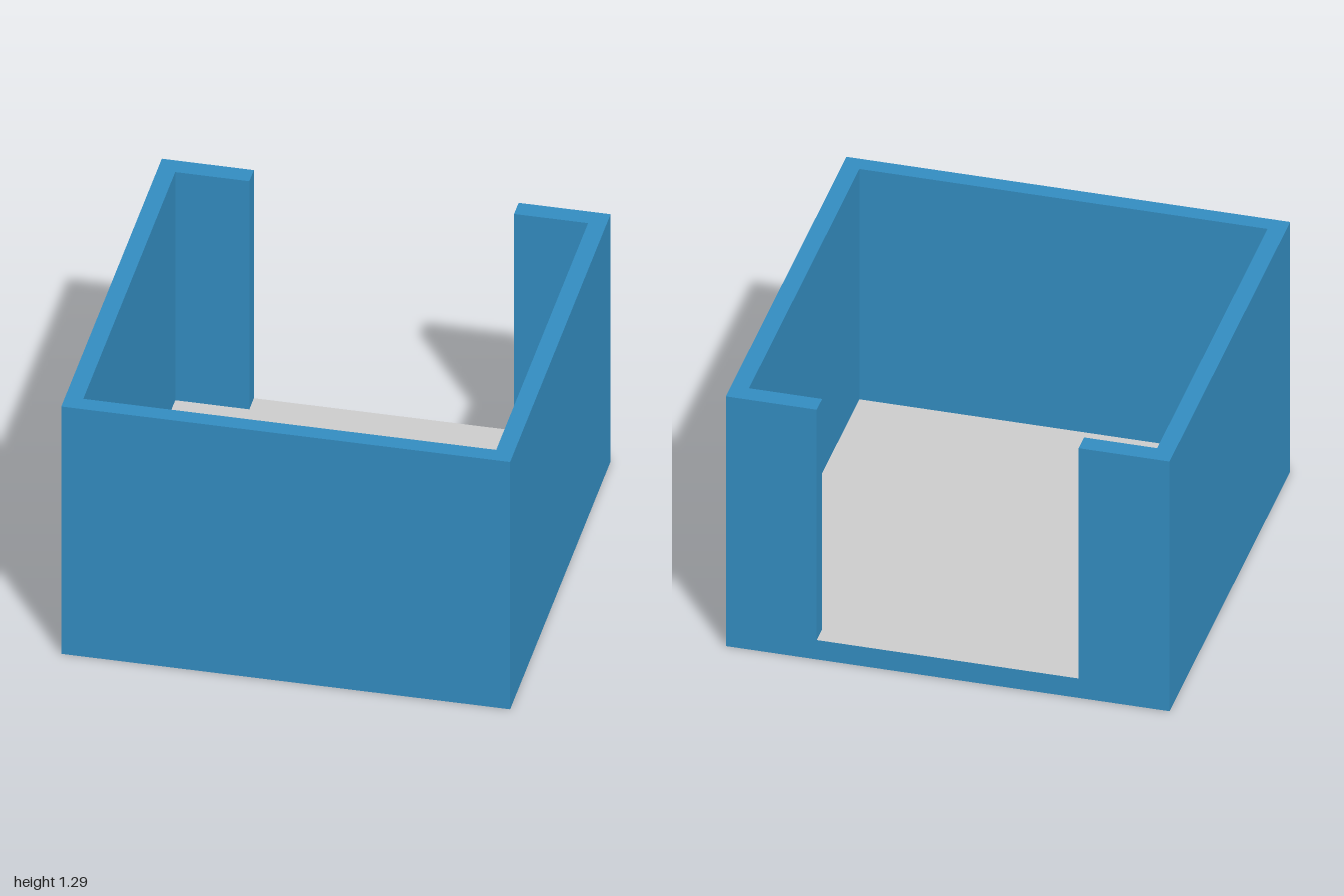
import * as THREE from 'three';

const HEIGHT = 1.29;      // overall height
const FLOOR = 0.1;        // floor slab thickness
const INNER = 0.92;       // inner face of the side and front walls
const BACK_INNER = 0.91;  // inner face of the back returns
const OPENING = 0.59;     // half width of the back opening

export function createModel() {
  const group = new THREE.Group();
  group.name = 'openBackEnclosure';
  const blue = new THREE.MeshStandardMaterial({ color: 0x338cc0 });
  const grey = new THREE.MeshStandardMaterial({ color: 0xcccccc });

  // Floor slab: blue edges, grey top and underside
  const floor = new THREE.Mesh(
    new THREE.BoxGeometry(2, FLOOR, 2),
    [blue, blue, grey, grey, blue, blue]
  );
  floor.position.y = FLOOR / 2;
  floor.name = 'floor';
  group.add(floor);

  // Walls: one C-shaped plan (plan y points to the back), mirrored about x = 0
  const half = [
    [1, -1], [1, 1], [OPENING, 1], [OPENING, BACK_INNER],
    [INNER, BACK_INNER], [INNER, -INNER],
  ];
  const mirrored = half.map(([x, y]) => [-x, y]).reverse();
  const plan = new THREE.Shape(
    [...half, ...mirrored].map(([x, y]) => new THREE.Vector2(x, y))
  );
  const wallGeometry = new THREE.ExtrudeGeometry(plan, {
    depth: HEIGHT - FLOOR,
    bevelEnabled: false,
  });
  wallGeometry.rotateX(-Math.PI / 2);
  const walls = new THREE.Mesh(wallGeometry, blue);
  walls.position.y = FLOOR;
  walls.name = 'walls';
  group.add(walls);

  return group;
}
